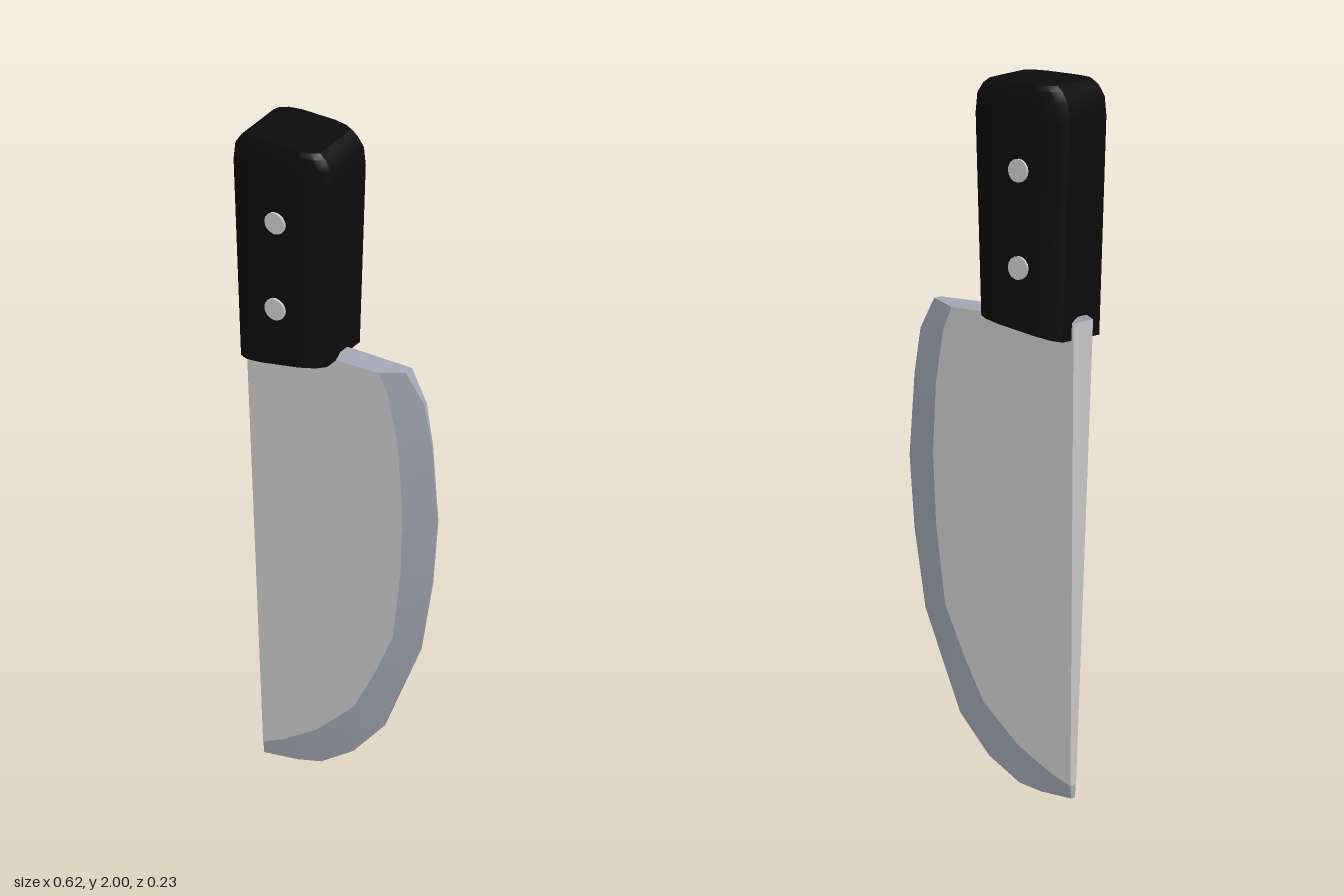
import * as THREE from 'three';
import { toCreasedNormals } from 'three/addons/utils/BufferGeometryUtils.js';

// Skins a stack of rings of [x, y, z] points, ordered bottom to top, with end caps.
function loft(rings, closed, crease) {
  const n = rings[0].length;
  const index = [];
  for (let i = 0; i < rings.length - 1; i++) {
    for (let j = 0; j < (closed ? n : n - 1); j++) {
      const a = i * n + j, b = i * n + (j + 1) % n;
      index.push(a, b, b + n, a, b + n, a + n);
    }
  }
  const top = (rings.length - 1) * n;
  for (let j = 1; j < n - 1; j++) {
    index.push(0, j + 1, j, top, top + j, top + j + 1);
  }
  const geometry = new THREE.BufferGeometry();
  geometry.setAttribute('position', new THREE.Float32BufferAttribute(rings.flat(2), 3));
  geometry.setIndex(index);
  return toCreasedNormals(geometry, crease);
}

function addMesh(group, name, geometry, color) {
  const mesh = new THREE.Mesh(geometry, new THREE.MeshStandardMaterial({ color }));
  mesh.name = name;
  group.add(mesh);
  return mesh;
}

export function createModel() {
  const model = new THREE.Group();
  model.name = 'kitchenKnife';

  // Blade rows: cutting edge x, y, half thickness, then bevel line x, y
  const rows = [
    [-0.258, 0.0, 0.008, -0.258, 0.035],
    [-0.15, 0.008, 0.003, -0.19, 0.065],
    [-0.075, 0.025, 0.003, -0.08, 0.13],
    [0.03, 0.09, 0.003, 0.04, 0.24],
    [0.13, 0.2, 0.003, 0.105, 0.36],
    [0.25, 0.48, 0.003, 0.17, 0.5],
    [0.288, 0.7, 0.003, 0.198, 0.72],
    [0.305, 0.9, 0.003, 0.206, 0.92],
    [0.288, 1.13, 0.003, 0.193, 1.12],
    [0.265, 1.26, 0.006, 0.165, 1.27],
    [0.21, 1.35, 0.016, 0.135, 1.335],
    [-0.294, 1.35, 0.018, -0.294, 1.335],
  ];
  const spineX = (y) => -0.258 - 0.027 * y;
  const half = (x, y) => (0.012 + 0.024 * y) * (1 - 0.45 * (x + 0.28));

  const cheekRings = rows.map(([, , , bx, by]) => {
    const sx = spineX(by), hb = half(bx, by), hs = half(sx, by);
    return [[bx, by, -hb], [sx, by, -hs], [sx, by, hs], [bx, by, hb]];
  });
  addMesh(model, 'bladeSides', loft(cheekRings, false, 0.4), 0xcccccc);

  const bevelRings = rows.map(([ex, ey, ez, bx, by]) => {
    const h = half(bx, by);
    return [[bx, by, h], [ex, ey, ez], [ex, ey, -ez], [bx, by, -h]];
  });
  addMesh(model, 'cuttingBevel', loft(bevelRings, false, 0.5), 0xa4aab6);

  // Handle cross-section in units of half width and half depth
  const quarter = [[0.45, 1], [0.81, 0.92], [1, 0.76]];
  const back = quarter.map(([x, z]) => [x, -z]).reverse();
  const right = [...quarter, ...back];
  const section = [...right, ...right.map(([x, z]) => [-x, -z])];

  // Handle levels: left x, right x, left y, right y, half depth
  const levels = [
    [-0.286, -0.004, 1.286, 1.334, 0.109],
    [-0.31, 0.015, 1.9, 1.9, 0.11],
    [-0.304, 0.009, 1.955, 1.955, 0.11],
    [-0.285, -0.01, 1.985, 1.985, 0.107],
    [-0.265, -0.03, 2.0, 2.0, 0.102],
  ];
  const handleRings = levels.map(([xl, xr, yl, yr, d]) => section.map(([u, w]) => {
    const t = (u + 1) / 2;
    return [xl + (xr - xl) * t, yl + (yr - yl) * t, w * d];
  }));
  addMesh(model, 'handle', loft(handleRings, true, 0.6), 0x0b0b0b);

  // Two rivets passing right through the handle
  for (const y of [1.485, 1.757]) {
    const pin = toCreasedNormals(new THREE.CylinderGeometry(0.033, 0.033, 0.234, 16), 0.6);
    const rivet = addMesh(model, 'rivet', pin, 0xcccccc);
    rivet.rotation.x = Math.PI / 2;
    rivet.position.set(-0.155, y, 0);
  }

  return model;
}
